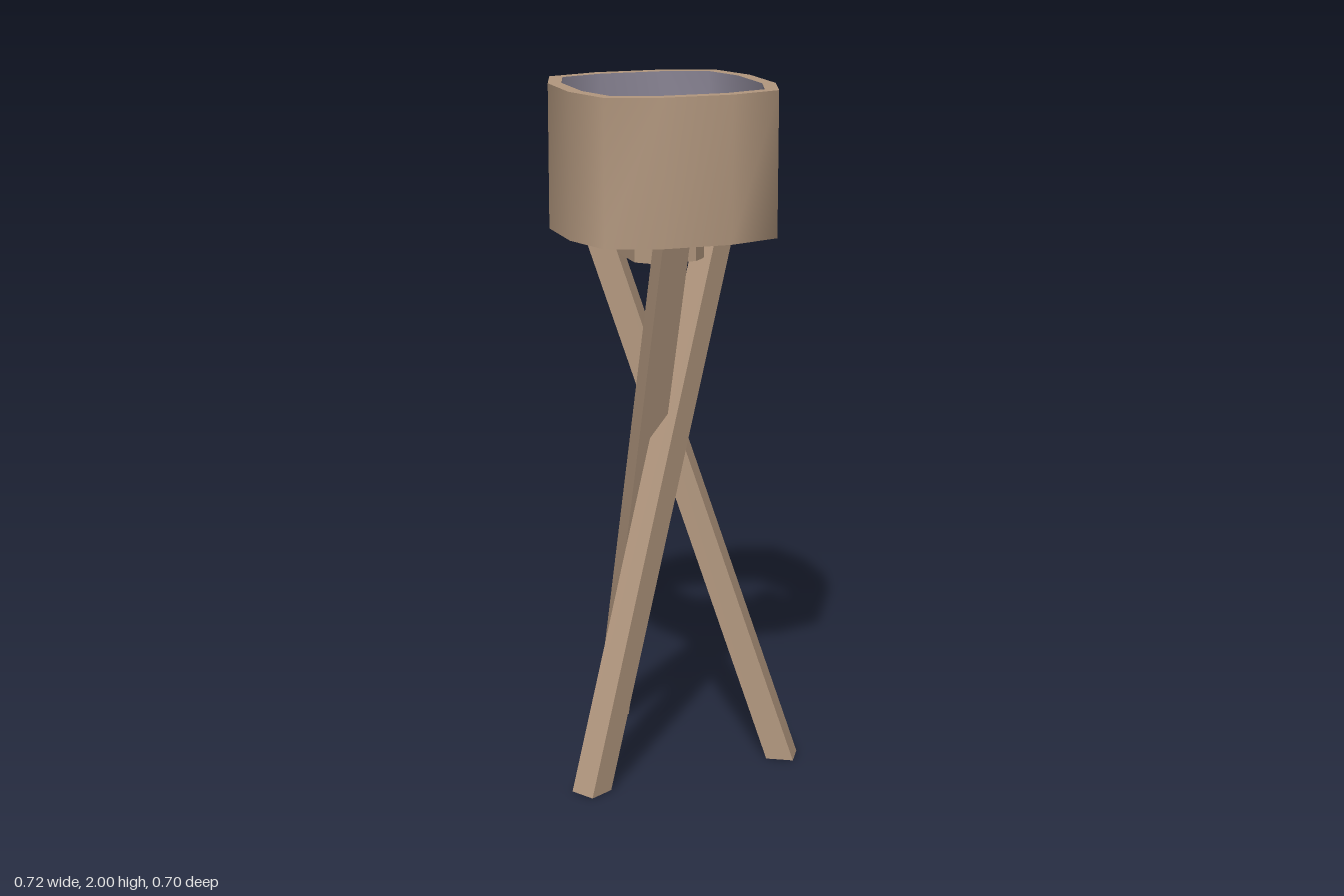
import * as THREE from 'three';
import { mergeVertices } from 'three/addons/utils/BufferGeometryUtils.js';

const CX = -0.021, CZ = 0.045; // axis of the shade
const SHADE_BOTTOM = 1.59, SHADE_TOP = 2;

// Closed outline of a rounded square: corner points mirrored into four quadrants
function outline(a, b, c) {
  const quarter = [[c, a], [b, b], [a, c]];
  const points = [];
  for (let q = 0; q < 4; q++) {
    for (const [x, z] of quarter) {
      const t = q * Math.PI / 2;
      points.push([x * Math.cos(t) - z * Math.sin(t), x * Math.sin(t) + z * Math.cos(t)]);
    }
  }
  return points;
}

// Smooth strip between two rings of points
function strip(ringA, yA, ringB, yB, flip) {
  const n = ringA.length, pos = [], idx = [];
  ringA.forEach(([x, z]) => pos.push(x, yA, z));
  ringB.forEach(([x, z]) => pos.push(x, yB, z));
  for (let i = 0; i < n; i++) {
    const j = (i + 1) % n;
    if (flip) idx.push(i, j, n + i, j, n + j, n + i);
    else idx.push(i, n + i, j, j, n + i, n + j);
  }
  const g = new THREE.BufferGeometry();
  g.setAttribute('position', new THREE.Float32BufferAttribute(pos, 3));
  g.setIndex(idx);
  g.computeVertexNormals();
  return g;
}

export function createModel() {
  const model = new THREE.Group();
  model.name = 'tripodLamp';
  const wood = new THREE.MeshStandardMaterial({ color: 0xb3987f });
  wood.name = 'warm tan';
  const lining = new THREE.MeshStandardMaterial({ color: 0x8a8595 });
  lining.name = 'lining grey';

  const add = (name, geometry, material, parent = model) => {
    const mesh = new THREE.Mesh(geometry, material);
    mesh.name = name;
    parent.add(mesh);
    return mesh;
  };

  // Shade: outer wall, lining and the two rims
  const shade = new THREE.Group();
  shade.name = 'shade';
  shade.position.set(CX, 0, CZ);
  model.add(shade);
  const outer = outline(0.099, 0.252, 0.302);
  const inner = outline(0.095, 0.222, 0.263);
  add('shadeWall', strip(outer, SHADE_BOTTOM, outer, SHADE_TOP, false), wood, shade);
  add('shadeLining', strip(inner, SHADE_BOTTOM, inner, SHADE_TOP, true), lining, shade);
  add('topRim', strip(outer, SHADE_TOP, inner, SHADE_TOP, false), wood, shade);
  add('bottomRim', strip(outer, SHADE_BOTTOM, inner, SHADE_BOTTOM, true), wood, shade);

  // Legs: leaning square bars with level ends, [bottom x, z, top x, z]
  const legs = [
    ['backLeg', -0.06, -0.31, -0.06, 0.243],
    ['rightLeg', -0.308, 0.258, 0.17, -0.02],
    ['leftLeg', 0.308, 0.187, -0.17, -0.087],
  ];
  for (const [name, x0, z0, x1, z1] of legs) {
    const out = new THREE.Vector3(x0 - x1, 0, z0 - z1).normalize();
    const side = new THREE.Vector3(0, 1, 0).cross(out);
    const lean = new THREE.Vector3((x1 - x0) / SHADE_BOTTOM, 1, (z1 - z0) / SHADE_BOTTOM);
    const shear = new THREE.Matrix4().makeBasis(side, lean, out).setPosition(x0, 0, z0);
    const bar = new THREE.BoxGeometry(0.078, SHADE_BOTTOM, 0.08);
    bar.translate(0, SHADE_BOTTOM / 2, 0).applyMatrix4(shear);
    add(name, bar, wood);
  }

  // Socket: square block with cut corners
  const h = 0.103, c = 0.066;
  const block = new THREE.Shape([
    [c, -h], [h, -c], [h, c], [c, h], [-c, h], [-h, c], [-h, -c], [-c, -h],
  ].map(([x, y]) => new THREE.Vector2(x, y)));
  const socket = new THREE.ExtrudeGeometry(block, { depth: 0.08, bevelEnabled: false });
  socket.rotateX(-Math.PI / 2);
  add('socket', socket, wood).position.set(CX, 1.51, CZ);

  // Bulb holder: small post with softened shading
  const post = new THREE.BoxGeometry(0.062, 0.08, 0.062);
  post.deleteAttribute('normal');
  post.deleteAttribute('uv');
  const softPost = mergeVertices(post);
  softPost.computeVertexNormals();
  add('bulbHolder', softPost, wood).position.set(CX, 1.625, CZ);

  return model;
}
